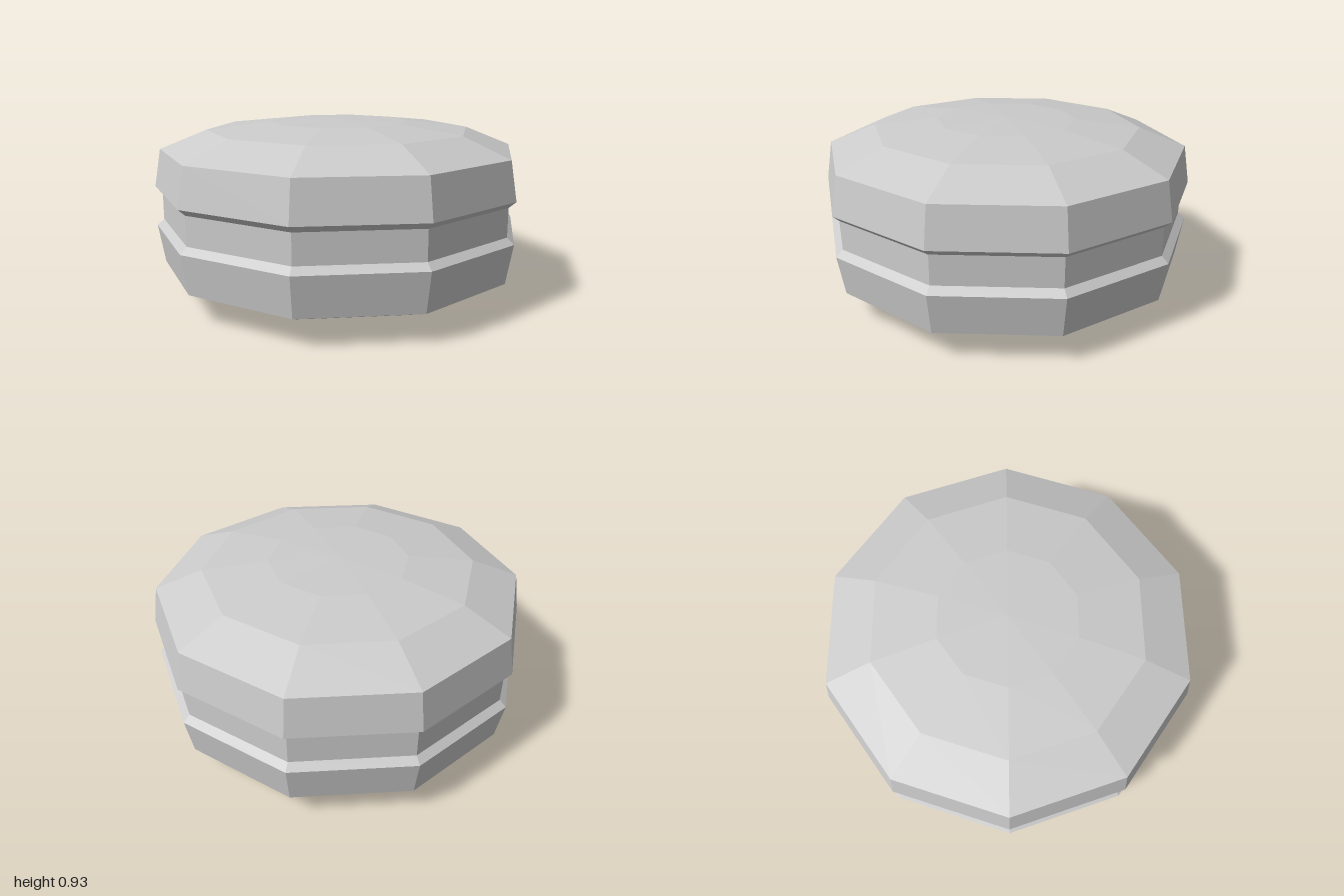
import * as THREE from 'three';

const SIDES = 10;

export function createModel() {
  const model = new THREE.Group();
  model.name = 'sandwichCookie';
  const material = new THREE.MeshStandardMaterial({ color: 0xcccccc, flatShading: true });

  // Turns a bottom-to-top [radius, y] profile into a ten-sided solid
  const addLathe = (name, profile) => {
    const points = profile.map(([r, y]) => new THREE.Vector2(r, y));
    const mesh = new THREE.Mesh(new THREE.LatheGeometry(points, SIDES), material);
    mesh.name = name;
    model.add(mesh);
  };

  // Domed lower shell with a chamfered rim
  addLathe('bottomShell', [
    [0, 0.003], [0.37, 0.015], [0.715, 0.058], [0.965, 0.157], [1, 0.365], [0.963, 0.398],
  ]);

  // Recessed filling band
  addLathe('filling', [[0.963, 0.398], [0.963, 0.549]]);

  // Domed upper shell
  addLathe('topShell', [
    [0.963, 0.549], [1, 0.582], [0.965, 0.785], [0.715, 0.886], [0.37, 0.926], [0, 0.937],
  ]);

  return model;
}
